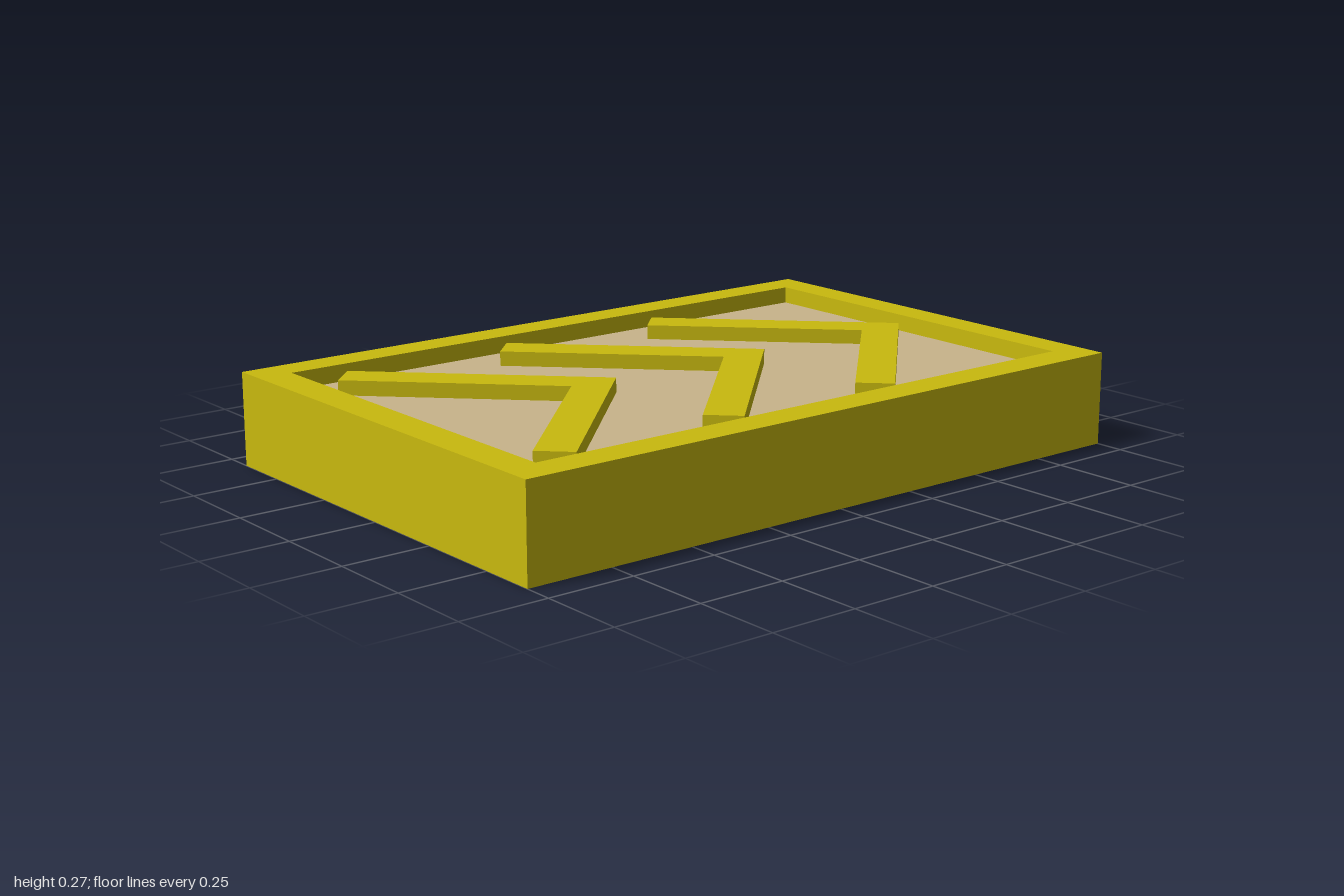
import * as THREE from 'three';

const HEIGHT = 0.267, FLOOR = 0.218, RIDGE_TOP = 0.26;

// Polygon given as [x, z] pairs; drawn in (x, -z) so it lies flat after rotation
const outline = (pts, Type = THREE.Shape) => new Type(pts.map(([x, z]) => new THREE.Vector2(x, -z)));

const rect = (x0, x1, z0, z1) => [[x0, z1], [x1, z1], [x1, z0], [x0, z0]];

function slab(name, shape, y0, y1, material) {
  const geometry = new THREE.ExtrudeGeometry(shape, { depth: y1 - y0, bevelEnabled: false });
  geometry.rotateX(-Math.PI / 2).translate(0, y0, 0);
  const mesh = new THREE.Mesh(geometry, material);
  mesh.name = name;
  return mesh;
}

export function createModel() {
  const yellow = new THREE.MeshStandardMaterial({ color: 0xc9ba0e });
  yellow.name = 'yellow';
  const tan = new THREE.MeshStandardMaterial({ color: 0xc9b48b });
  tan.name = 'tan';
  const group = new THREE.Group();
  group.name = 'chevronTray';

  // Raised frame around the recess
  const inner = rect(-0.572, 0.567, -0.905, 0.9);
  const rim = outline(rect(-0.667, 0.667, -1, 1));
  rim.holes.push(outline([...inner].reverse(), THREE.Path));
  group.add(slab('rim', rim, 0, HEIGHT, yellow));

  // Underside and recessed floor
  group.add(slab('base', outline(inner), 0, 0.1, yellow));
  group.add(slab('floor', outline(inner), 0.1, FLOOR, tan));

  // Three arrow ridges pointing to the back
  const cx = 0.007;
  for (let i = 0; i < 3; i++) {
    const z = -0.843 + i * 0.535;
    const chevron = outline([
      [cx, z], [cx - 0.528, z + 0.528], [cx - 0.452, z + 0.604],
      [cx, z + 0.152], [cx + 0.452, z + 0.604], [cx + 0.528, z + 0.528],
    ]);
    group.add(slab(`chevron${i + 1}`, chevron, FLOOR - 0.01, RIDGE_TOP, yellow));
  }
  return group;
}
